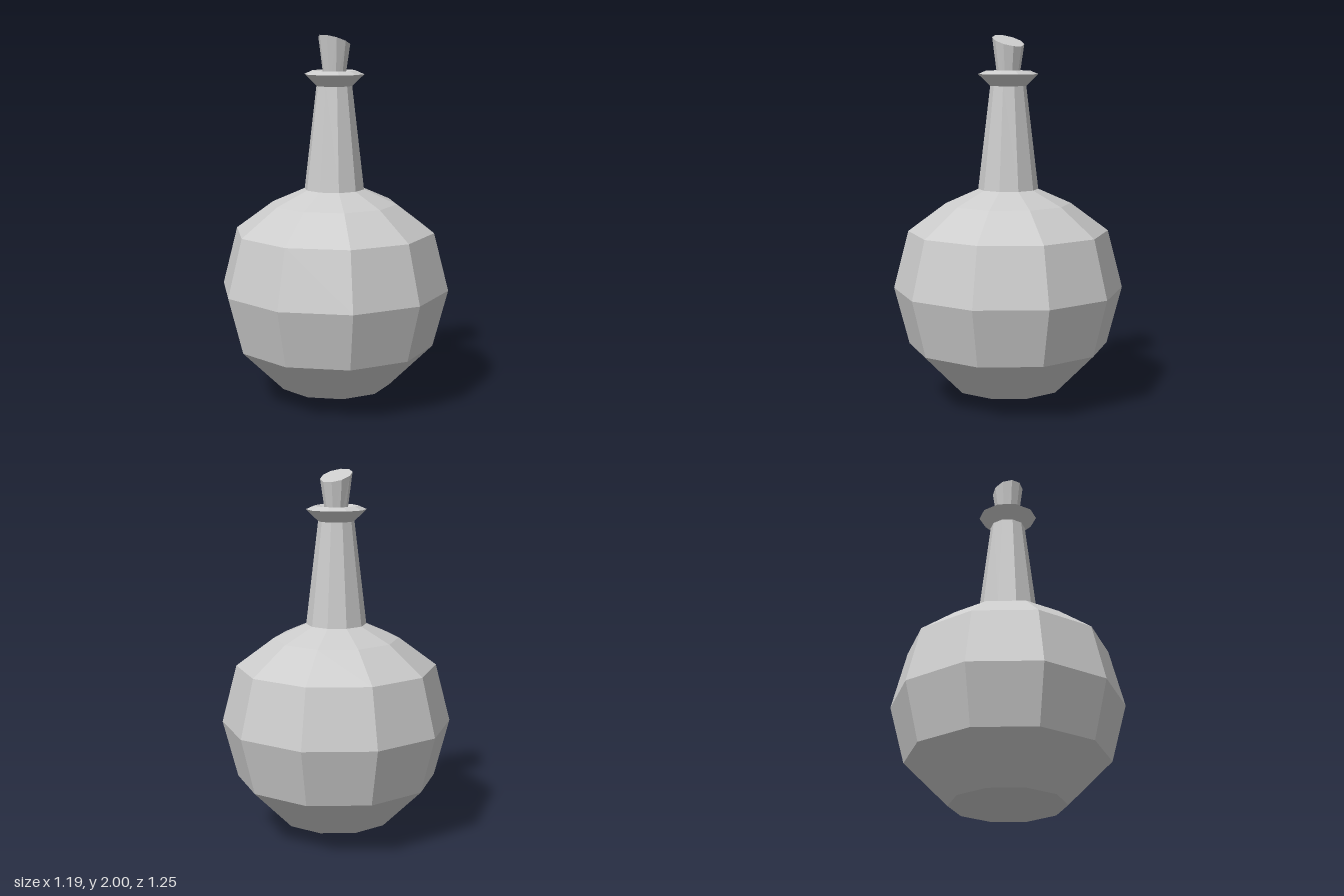
import * as THREE from 'three';

const SIDES = 10;

export function createModel() {
  const group = new THREE.Group();
  const material = new THREE.MeshStandardMaterial({ color: 0xcccccc, flatShading: true });

  // Adds a ten-sided turned part from [radius, height] pairs
  const addTurned = (name, profile) => {
    const points = profile.map(([r, y]) => new THREE.Vector2(r, y));
    const mesh = new THREE.Mesh(new THREE.LatheGeometry(points, SIDES), material);
    mesh.name = name;
    group.add(mesh);
  };

  // Round flask body with a shallow pointed base
  addTurned('body', [
    [0, 0], [0.31, 0.085], [0.545, 0.318], [0.626, 0.63],
    [0.545, 0.945], [0.34, 1.097], [0.163, 1.175],
  ]);

  // Tapered neck
  addTurned('neck', [[0.163, 1.175], [0.097, 1.73]]);

  // Flared lip, turning inwards to the mouth of the neck
  addTurned('lip', [
    [0.097, 1.73], [0.162, 1.793], [0.118, 1.812], [0.08, 1.795], [0.075, 1.73], [0, 1.73],
  ]);

  // Stopper widening upwards, its top cut at a slant
  const bottom = 1.73, top = 1.97;
  const corkGeometry = new THREE.CylinderGeometry(0.086, 0.053, top - bottom, SIDES);
  corkGeometry.translate(0, (top + bottom) / 2, 0);
  const pos = corkGeometry.attributes.position;
  for (let i = 0; i < pos.count; i++) {
    if (pos.getY(i) > top - 0.01) pos.setY(i, top - 0.37 * pos.getX(i));
  }
  corkGeometry.computeVertexNormals();
  const cork = new THREE.Mesh(corkGeometry, material);
  cork.name = 'cork';
  group.add(cork);

  return group;
}
